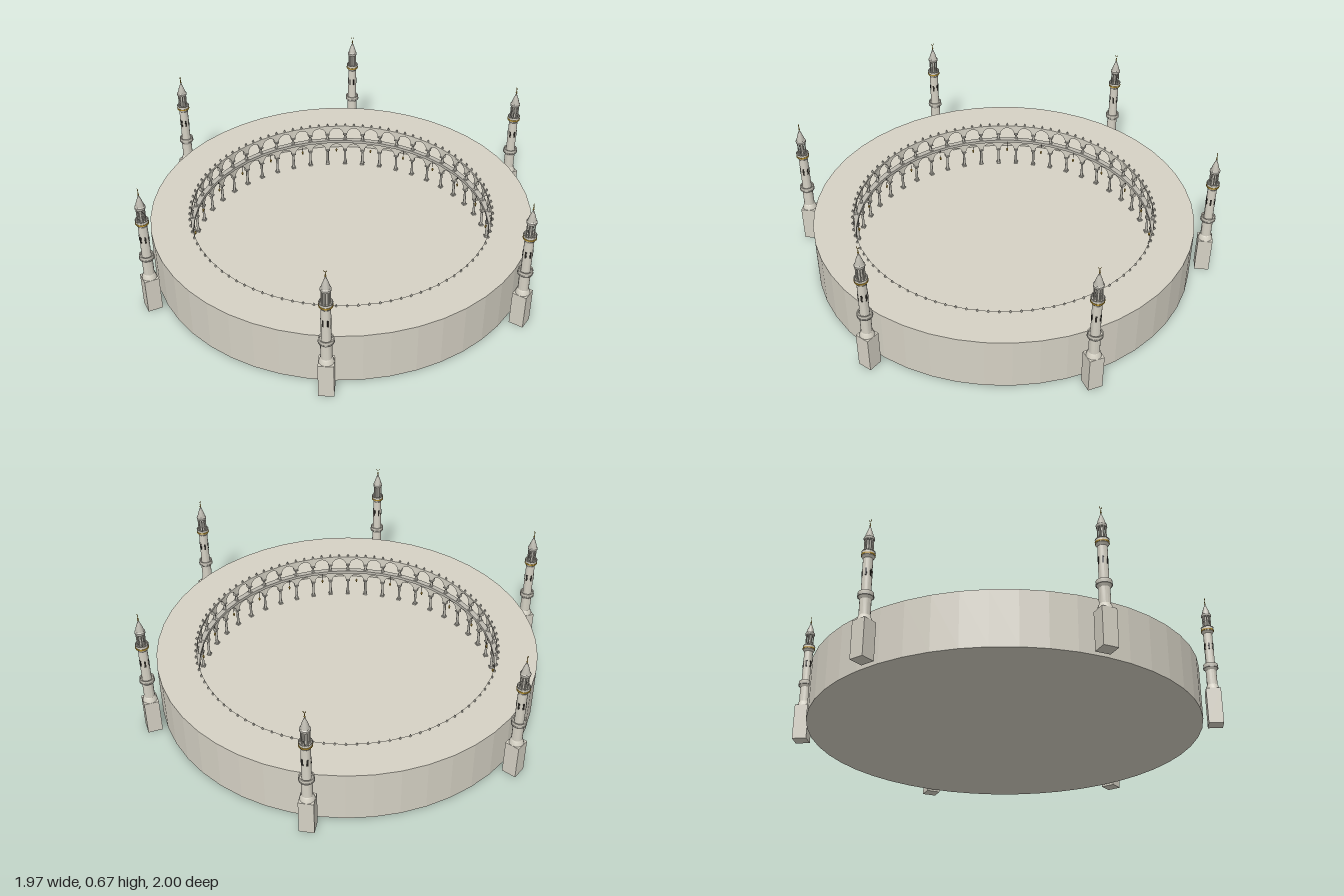
import * as THREE from 'three';
import { mergeGeometries, toCreasedNormals } from 'three/addons/utils/BufferGeometryUtils.js';

const BAYS = 48;
const STEP = (Math.PI * 2) / BAYS;
const R_OUT = 0.922, R_IN = 0.73, R_ARC = 0.74;

function mat(name, color) {
  const m = new THREE.MeshStandardMaterial({ color });
  m.name = name;
  return m;
}

function add(parent, name, geo, material) {
  const m = new THREE.Mesh(geo, material);
  m.name = name;
  parent.add(m);
  return m;
}

// Revolved profile of [radius, y] pairs, listed bottom to top on the outside
function lathe(points, segments, crease) {
  const g = new THREE.LatheGeometry(points.map(p => new THREE.Vector2(p[0], p[1])), segments);
  return toCreasedNormals(g, crease);
}

// Ring with a rectangular section
const ring = (r0, r1, y0, y1) =>
  lathe([[r0, y0], [r1, y0], [r1, y1], [r0, y1], [r0, y0]], BAYS, 0.05);

// Copies of a geometry around the y axis, merged into one
function around(geo, count, radius, start = 0) {
  const list = [];
  for (let i = 0; i < count; i++) {
    const a = start + (i * Math.PI * 2) / count;
    list.push(geo.clone().translate(0, 0, radius).rotateY(a));
  }
  return mergeGeometries(list);
}

const cyl = (r0, r1, y0, y1, n = 8) =>
  new THREE.CylinderGeometry(r1, r0, y1 - y0, n).translate(0, (y0 + y1) / 2, 0);
const block = (w, y0, y1) =>
  new THREE.BoxGeometry(w, y1 - y0, w).translate(0, (y0 + y1) / 2, 0);

// Wall panel over one bay, with a round arch cut from its lower edge
function archPanel(spring, top) {
  const w = R_ARC * Math.tan(STEP / 2) + 0.0005;
  const r = 0.037;
  const s = new THREE.Shape();
  s.moveTo(-w, spring);
  s.lineTo(-r, spring);
  s.absarc(0, spring, r, Math.PI, 0, true);
  s.lineTo(w, spring);
  s.lineTo(w, top);
  s.lineTo(-w, top);
  s.closePath();
  return new THREE.ExtrudeGeometry(s, { depth: 0.014, bevelEnabled: false, curveSegments: 10 })
    .translate(0, 0, -0.007);
}

// One storey of columns and arches
function arcade(parent, name, floor, spring, top, m) {
  const g = new THREE.Group();
  g.name = name;
  parent.add(g);
  const column = mergeGeometries([
    block(0.02, floor, floor + 0.008),
    cyl(0.007, 0.006, floor + 0.008, spring - 0.01),
    cyl(0.006, 0.011, spring - 0.014, spring - 0.005),
    block(0.022, spring - 0.005, spring + 0.001),
  ]);
  add(g, 'columns', around(column, BAYS, R_ARC), m.trim);
  add(g, 'arches', around(archPanel(spring, top), BAYS, R_ARC, STEP / 2), m.stone);
}

function minaret(m) {
  const g = new THREE.Group();
  g.name = 'minaret';
  add(g, 'base', new THREE.BoxGeometry(0.069, 0.175, 0.069).translate(0, 0.0875, 0), m.stone);

  // Shaft with its two flared galleries
  add(g, 'shaft', lathe([
    [0.034, 0.175], [0.028, 0.195], [0.025, 0.2], [0.025, 0.275], [0.033, 0.288],
    [0.034, 0.29], [0.034, 0.308], [0.029, 0.308], [0.028, 0.3], [0.022, 0.3],
    [0.0215, 0.47], [0.029, 0.481], [0.029, 0.503], [0.026, 0.503], [0.026, 0.495], [0, 0.495],
  ], 16, 0.5), m.stone);
  add(g, 'lowerGalleryRail', cyl(0.0355, 0.0355, 0.287, 0.293, 16), m.trim);
  add(g, 'goldBand', cyl(0.031, 0.031, 0.484, 0.491, 16), m.gold);
  add(g, 'railTop', new THREE.TorusGeometry(0.0285, 0.0022, 6, 16)
    .rotateX(Math.PI / 2).translate(0, 0.503, 0), m.trim);

  // Narrow windows
  const pane = new THREE.BoxGeometry(0.008, 0.034, 0.003).translate(0, 0.4, 0);
  add(g, 'windows', around(pane, 6, 0.0212, 0.5), m.dark);

  // Lantern, spire and finial
  add(g, 'lanternCore', cyl(0.011, 0.011, 0.49, 0.57, 12), m.trim);
  add(g, 'lanternColumns', around(cyl(0.003, 0.003, 0.49, 0.568, 6), 8, 0.018), m.stone);
  add(g, 'spire', lathe([
    [0, 0.562], [0.022, 0.562], [0.024, 0.566], [0.024, 0.574], [0.02, 0.578],
    [0.014, 0.6], [0.006, 0.622], [0.002, 0.633], [0, 0.635],
  ], 16, 0.5), m.trim);
  add(g, 'finialRod', cyl(0.0015, 0.001, 0.63, 0.657, 6), m.gold);
  for (const [y, r] of [[0.637, 0.0042], [0.646, 0.003]])
    add(g, 'finialBall', new THREE.SphereGeometry(r, 8, 6).translate(0, y, 0), m.gold);
  add(g, 'finialCrescent', new THREE.TorusGeometry(0.006, 0.0013, 5, 12, Math.PI * 1.4)
    .rotateZ(Math.PI * 0.8).translate(0, 0.663, 0), m.gold);
  return g;
}

export function createModel() {
  const model = new THREE.Group();
  model.name = 'circularCourtyard';
  const m = {
    stone: mat('warm stone', 0xd5d1c4),
    trim: mat('grey stone trim', 0xbdbab0),
    gold: mat('gold', 0xb8922e),
    dark: mat('dark opening', 0x2a2722),
  };

  // Floor, outer wall, upper gallery floor and roof
  add(model, 'courtyardFloor', lathe([[0, 0], [R_OUT, 0], [R_OUT, 0.008], [0, 0.008]], BAYS, 0.05), m.stone);
  add(model, 'outerWall', ring(R_OUT - 0.014, R_OUT, 0.004, 0.255), m.stone);
  add(model, 'galleryFloor', ring(R_IN, R_OUT - 0.01, 0.15, 0.163), m.stone);
  add(model, 'galleryCornice', ring(R_IN - 0.006, R_IN + 0.02, 0.153, 0.169), m.trim);
  add(model, 'roof', ring(R_IN, R_OUT, 0.248, 0.258), m.stone);

  // Two storeys of arches around the court
  arcade(model, 'lowerArcade', 0.008, 0.103, 0.151, m);
  arcade(model, 'upperArcade', 0.163, 0.205, 0.249, m);

  // Small pointed finials along the inner roof edge
  const merlon = mergeGeometries([
    cyl(0.0045, 0.0045, 0.256, 0.262, 6),
    cyl(0.0055, 0.0005, 0.262, 0.272, 6),
  ]);
  add(model, 'roofFinials', around(merlon, BAYS * 2, R_IN + 0.005), m.trim);

  // Lamps hanging in front of every second lower arch
  const lampStart = STEP / 2, lampR = R_IN - 0.009;
  add(model, 'lampChains', around(cyl(0.001, 0.001, 0.118, 0.16, 5), BAYS / 2, lampR, lampStart), m.dark);
  add(model, 'lamps', around(mergeGeometries([
    cyl(0.003, 0.006, 0.1, 0.112, 6), cyl(0.006, 0.001, 0.112, 0.12, 6),
  ]), BAYS / 2, lampR, lampStart), m.gold);

  // Six minarets standing just outside the wall
  for (let i = 0; i < 6; i++) {
    const a = THREE.MathUtils.degToRad(13.1 + 60 * i);
    const t = minaret(m);
    t.position.set(0.982 * Math.sin(a), 0, 0.982 * Math.cos(a));
    t.rotation.y = a;
    model.add(t);
  }
  return model;
}
